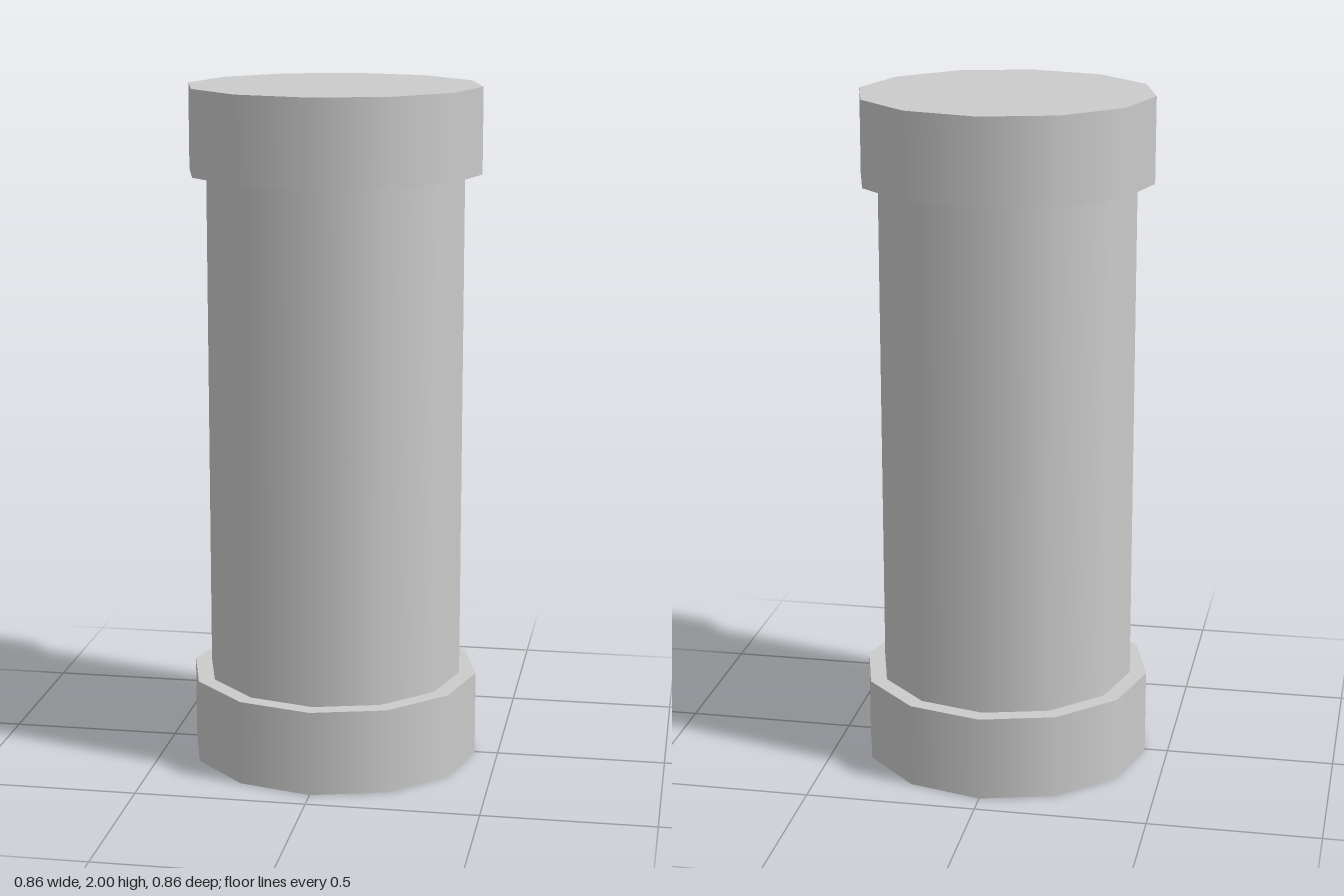
import * as THREE from 'three';

const SIDES = 12;

export function createModel() {
  const model = new THREE.Group();
  const material = new THREE.MeshStandardMaterial({ color: 0xcccccc });

  // Upright twelve-sided drum with smooth sides, from y0 to y1
  function addDrum(name, radius, y0, y1) {
    const geometry = new THREE.CylinderGeometry(radius, radius, y1 - y0, SIDES);
    const mesh = new THREE.Mesh(geometry, material);
    mesh.name = name;
    mesh.position.y = (y0 + y1) / 2;
    model.add(mesh);
  }

  addDrum('bottomCap', 0.43, 0, 0.25);
  addDrum('shaft', 0.38, 0.25, 1.75);
  addDrum('topCap', 0.43, 1.75, 2);

  return model;
}
